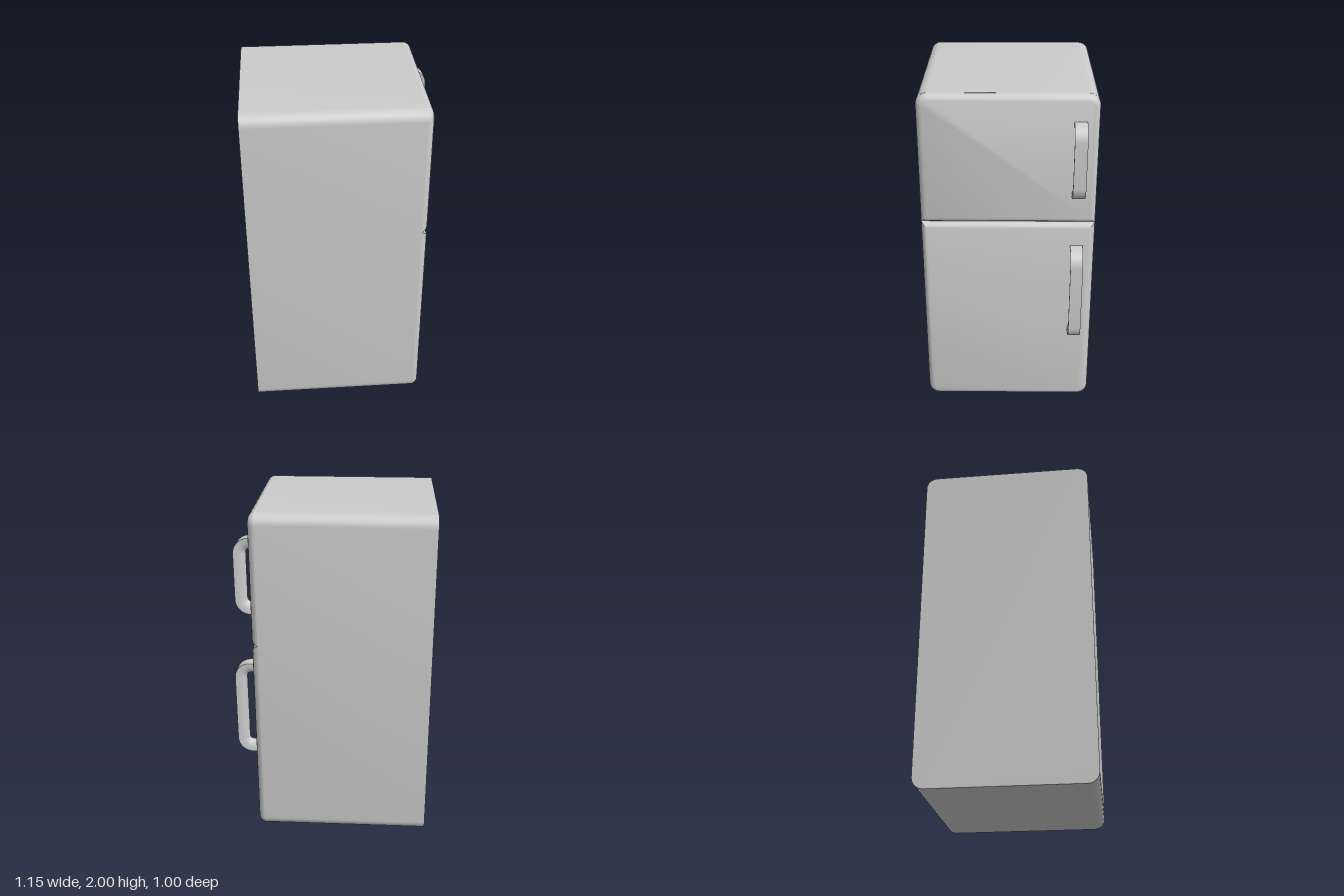
import * as THREE from 'three';
import { toCreasedNormals } from 'three/addons/utils/BufferGeometryUtils.js';

const material = new THREE.MeshStandardMaterial({ color: 0xcccccc });

// Skin a series of equal-length rings of points and cap both ends.
function loft(name, rings, crease) {
  const n = rings[0].length, pos = [], index = [];
  rings.forEach(r => r.forEach(p => pos.push(p.x, p.y, p.z)));
  for (let i = 0; i < rings.length - 1; i++) {
    for (let j = 0; j < n; j++) {
      const k = (j + 1) % n;
      const a = i * n + j, b = i * n + k, c = b + n, d = a + n;
      index.push(a, b, c, a, c, d);
    }
  }
  const last = (rings.length - 1) * n;
  for (let j = 1; j < n - 1; j++) {
    index.push(0, j + 1, j, last, last + j, last + j + 1);
  }
  const geometry = new THREE.BufferGeometry();
  geometry.setAttribute('position', new THREE.Float32BufferAttribute(pos, 3));
  geometry.setIndex(index);
  const mesh = new THREE.Mesh(toCreasedNormals(geometry, crease), material);
  mesh.name = name;
  return mesh;
}

// Rectangle in the plane at x, with separate top and bottom corner radii.
function outline(x, y0, y1, rBottom, rTop, inset = 0) {
  const w = 0.5 - inset, lo = y0 + inset, hi = y1 - inset, pts = [];
  const corners = [[1, -1, rBottom], [1, 1, rTop], [-1, 1, rTop], [-1, -1, rBottom]];
  corners.forEach(([sx, sy, radius], q) => {
    const r = radius ? Math.max(radius - inset, 0.015) : 0;
    const steps = radius ? 8 : 0;
    for (let s = 0; s <= steps; s++) {
      const t = (q - 1 + (steps ? s / steps : 0)) * Math.PI / 2;
      const a = sx * (w - r) + r * Math.cos(t);
      const y = (sy > 0 ? hi - r : lo + r) + r * Math.sin(t);
      pts.push(r ? new THREE.Vector3(x, y, -a) : new THREE.Vector3(x, sy > 0 ? hi : lo, -sx * w));
    }
  });
  return pts;
}

// Door panel with a softly rounded front edge.
function door(name, y0, y1, rBottom, rTop) {
  const steps = [[0.42, 0], [0.43, 0.003], [0.442, 0.011], [0.452, 0.022], [0.457, 0.036]];
  return loft(name, steps.map(([x, i]) => outline(x, y0, y1, rBottom, rTop, i)), 0.65);
}

// Bracket handle: flat outer face, short rim and rounded inner side.
function handle(name, y0, y1, reach) {
  const R = 0.09, half = 0.036, rim = 0.012, depth = 0.068;
  const section = [[half, 0], [-half, 0]];
  for (let s = 0; s <= 12; s++) {
    const t = Math.PI * s / 12;
    section.push([-half * Math.cos(t), rim + (depth - rim) * Math.sin(t)]);
  }
  const path = [[0.44, y1, Math.PI / 2]];
  for (const [cy, from] of [[y1 - R, Math.PI / 2], [y0 + R, 0]]) {
    for (let s = 0; s <= 10; s++) {
      const t = from - s / 10 * Math.PI / 2;
      path.push([reach - R + R * Math.cos(t), cy + R * Math.sin(t), t]);
    }
  }
  path.push([0.44, y0, -Math.PI / 2]);
  const rings = path.map(([x, y, t]) => section.map(([a, d]) =>
    new THREE.Vector3(x - d * Math.cos(t), y - d * Math.sin(t), -0.395 - a)));
  return loft(name, rings, 0.7);
}

export function createModel() {
  const group = new THREE.Group();
  group.name = 'refrigerator';
  const r = 0.065, seam = 1.23;
  group.add(
    loft('cabinet', [-0.575, 0.422].map(x => outline(x, 0, 2, r, r)), 0.65),
    door('freezerDoor', seam, 2, 0, r),
    door('fridgeDoor', 0, seam, r, 0),
    handle('freezerHandle', 1.4, 1.85, 0.55),
    handle('fridgeHandle', 0.5, 1.09, 0.572)
  );
  return group;
}
